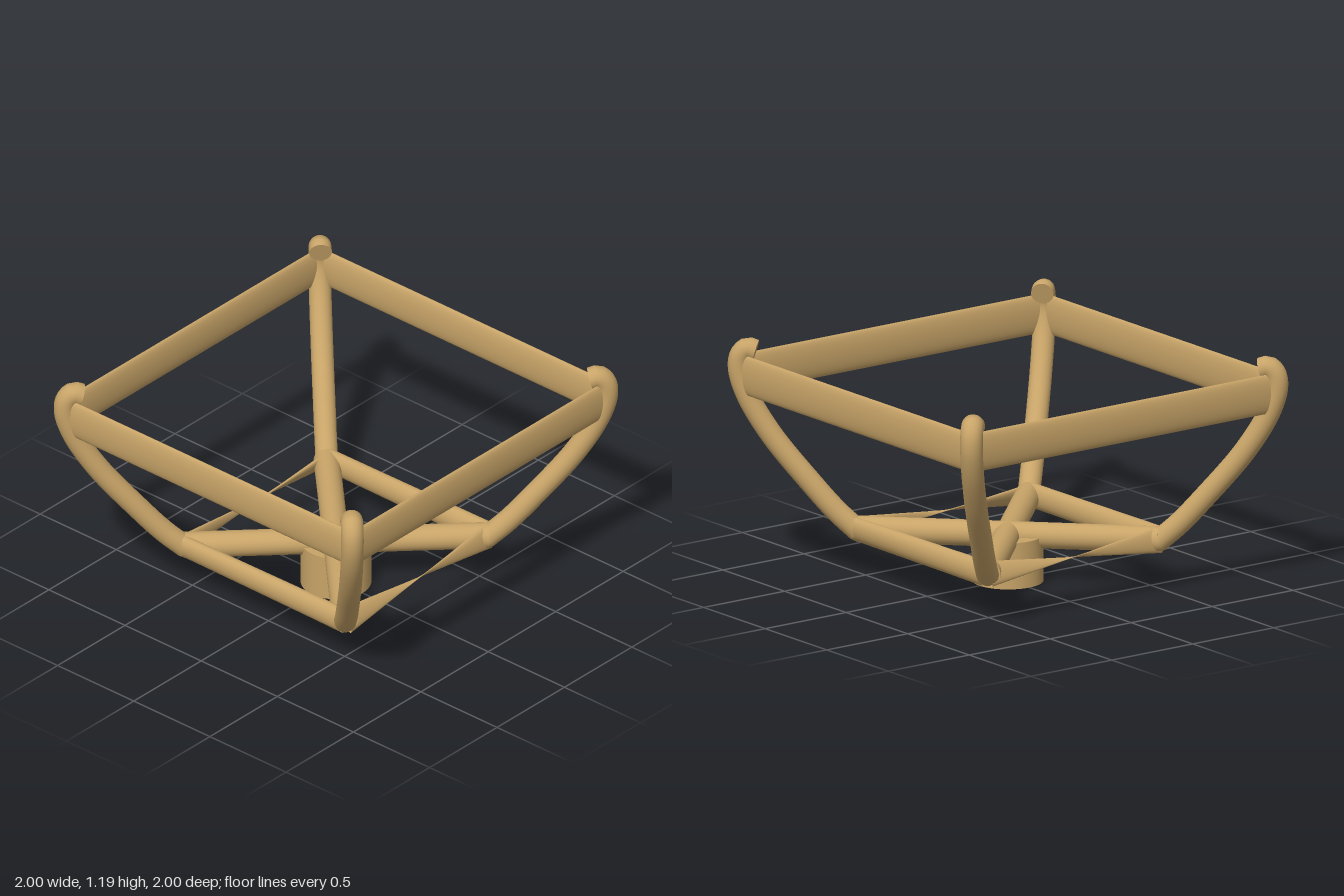
import * as THREE from 'three';

const material = new THREE.MeshStandardMaterial({ color: 0xc8a468, side: THREE.DoubleSide });

function add(parent, name, geometry) {
  const mesh = new THREE.Mesh(geometry, material);
  mesh.name = name;
  parent.add(mesh);
  return mesh;
}

// Straight bar along x with an oval section; the end sections are joined by
// straight lines, so a large twist pinches the middle.
function ovalBar(length, halfHeight, halfDepth, startTilt = 0, endTilt = 0) {
  const sides = 32, steps = 24, pos = [], index = [];
  const corner = (a, tilt) => {
    const y = halfHeight * Math.sin(a), z = halfDepth * Math.cos(a);
    return [y * Math.cos(tilt) - z * Math.sin(tilt), y * Math.sin(tilt) + z * Math.cos(tilt)];
  };
  for (let i = 0; i <= steps; i++) {
    const t = i / steps;
    for (let j = 0; j < sides; j++) {
      const a = (j / sides) * Math.PI * 2;
      const p = corner(a, startTilt), q = corner(a, endTilt);
      pos.push((t - 0.5) * length, p[0] + (q[0] - p[0]) * t, p[1] + (q[1] - p[1]) * t);
    }
  }
  for (let i = 0; i < steps; i++) {
    for (let j = 0; j < sides; j++) {
      const a = i * sides + j, b = i * sides + (j + 1) % sides;
      index.push(a, a + sides, b, b, a + sides, b + sides);
    }
  }
  const geometry = new THREE.BufferGeometry();
  geometry.setAttribute('position', new THREE.Float32BufferAttribute(pos, 3));
  geometry.setIndex(index);
  geometry.computeVertexNormals();
  return geometry;
}

export function createModel() {
  const model = new THREE.Group();
  model.name = 'squareBasketFrame';

  // Round foot
  add(model, 'foot', new THREE.CylinderGeometry(0.175, 0.175, 0.235, 48)).position.y = 0.1175;

  // Each rib climbs from the floor corner and hooks inward at the top
  const profile = [
    [0.525, 0.225], [0.6, 0.32], [0.69, 0.46], [0.83, 0.7], [0.915, 0.9],
    [0.943, 1.03], [0.937, 1.1], [0.913, 1.133], [0.885, 1.122],
  ];
  const ribCurve = new THREE.CatmullRomCurve3(profile.map(([d, y]) => new THREE.Vector3(d, y, d)));
  const ribRadius = 0.056;
  const ribGeometry = new THREE.TubeGeometry(ribCurve, 72, ribRadius, 24);
  const spokeLength = 0.53 * Math.SQRT2;

  for (let i = 0; i < 4; i++) {
    const corner = new THREE.Group();
    corner.name = 'corner' + (i + 1);
    corner.rotation.y = i * Math.PI / 2;
    model.add(corner);

    // Floor spoke
    const spoke = add(corner, 'spoke', new THREE.CylinderGeometry(0.065, 0.065, spokeLength, 28));
    spoke.position.set(0.265, 0.235, 0.265);
    spoke.quaternion.setFromUnitVectors(new THREE.Vector3(0, 1, 0), new THREE.Vector3(1, 0, 1).normalize());

    add(corner, 'elbow', new THREE.SphereGeometry(0.058, 24, 16)).position.set(0.525, 0.23, 0.525);
    add(corner, 'rib', ribGeometry);

    // Flat end of the hook
    const tip = add(corner, 'hookEnd', new THREE.CircleGeometry(ribRadius, 24));
    tip.position.copy(ribCurve.getPoint(1));
    tip.quaternion.setFromUnitVectors(new THREE.Vector3(0, 0, 1), ribCurve.getTangent(1));

    // Upper rail
    add(corner, 'upperRail', ovalBar(1.84, 0.1, 0.025)).position.set(0, 1.005, 0.94);

    // Lower rails: full at front and back, pinched at the sides
    const pinched = i % 2 === 1;
    const lower = pinched
      ? ovalBar(1.06, 0.066, 0.022, -0.45, Math.PI - 0.2)
      : ovalBar(1.06, 0.064, 0.042, 0.25, -0.1);
    add(corner, pinched ? 'twistedLowerRail' : 'lowerRail', lower).position.set(0, 0.235, 0.537);
  }
  return model;
}
